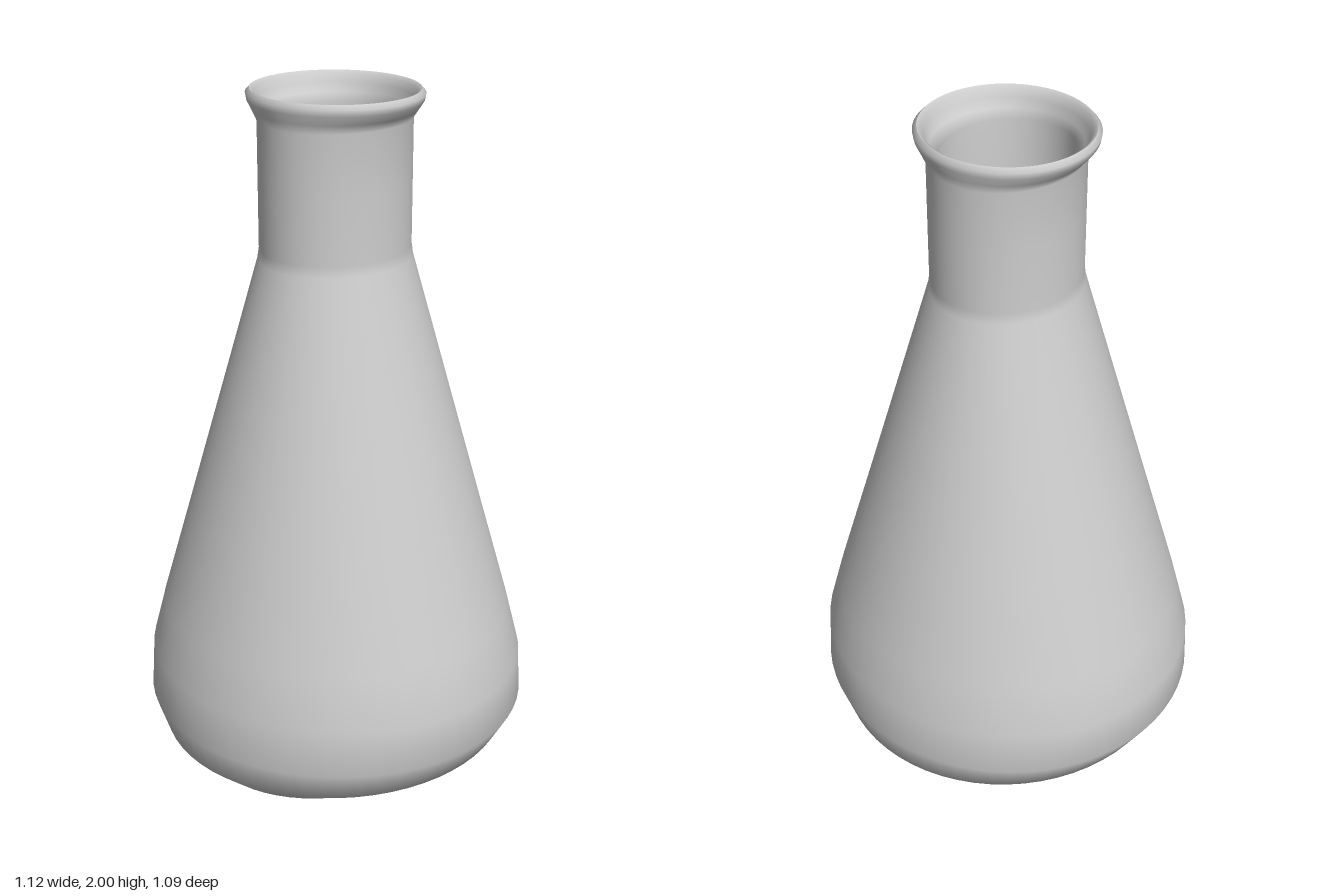
import * as THREE from 'three';
import { mergeVertices } from 'three/addons/utils/BufferGeometryUtils.js';

// Closed surface through oval rings, each given as [height, x radius, z radius]
function ovalLathe(rings, segments = 64) {
  const profile = rings.map(([y, , rz]) => new THREE.Vector2(rz, y));
  let geometry = new THREE.LatheGeometry(profile, segments);
  const pos = geometry.attributes.position;
  for (let i = 0; i < pos.count; i++) {
    const [, rx, rz] = rings[i % rings.length];
    if (rz > 0) pos.setX(i, pos.getX(i) * rx / rz);
  }
  // Weld the seam so shading stays smooth all round
  geometry.deleteAttribute('uv');
  geometry.deleteAttribute('normal');
  geometry = mergeVertices(geometry, 1e-5);
  geometry.computeVertexNormals();
  return geometry;
}

export function createModel() {
  const grey = new THREE.MeshStandardMaterial({ color: 0xcccccc });
  grey.name = 'flask grey';
  const group = new THREE.Group();
  group.name = 'conicalFlask';

  const add = (name, rings) => {
    const mesh = new THREE.Mesh(ovalLathe(rings), grey);
    mesh.name = name;
    group.add(mesh);
  };

  // Flat base, rounded shoulder and conical wall up to the neck and lip
  add('outerWall', [
    [0, 0, 0], [0, 0.2, 0.24], [0.012, 0.28, 0.34], [0.04, 0.365, 0.43],
    [0.12, 0.505, 0.52], [0.215, 0.56, 0.545], [0.35, 0.557, 0.532],
    [0.5, 0.515, 0.498], [0.8, 0.425, 0.418], [1.2, 0.305, 0.313],
    [1.54, 0.203, 0.224], [1.57, 0.198, 0.22], [1.75, 0.198, 0.22],
    [1.92, 0.198, 0.22], [1.945, 0.218, 0.226], [1.97, 0.238, 0.234],
    [1.988, 0.242, 0.236], [2, 0.23, 0.226],
  ]);

  // Rolled lip going down into the mouth
  add('innerLip', [
    [2, 0.23, 0.226], [1.992, 0.218, 0.214], [1.97, 0.212, 0.208],
    [1.945, 0.195, 0.202], [1.92, 0.172, 0.195], [1.57, 0.172, 0.195],
  ]);

  // Hollow interior following the outside at a small thickness
  add('innerWall', [
    [1.57, 0.172, 0.195], [1.2, 0.28, 0.288], [0.8, 0.4, 0.393],
    [0.5, 0.49, 0.473], [0.35, 0.532, 0.507], [0.215, 0.535, 0.52],
    [0.13, 0.485, 0.497], [0.06, 0.355, 0.415], [0.035, 0.28, 0.32],
  ]);
  add('innerFloor', [[0.035, 0.28, 0.32], [0.035, 0, 0]]);

  return group;
}
